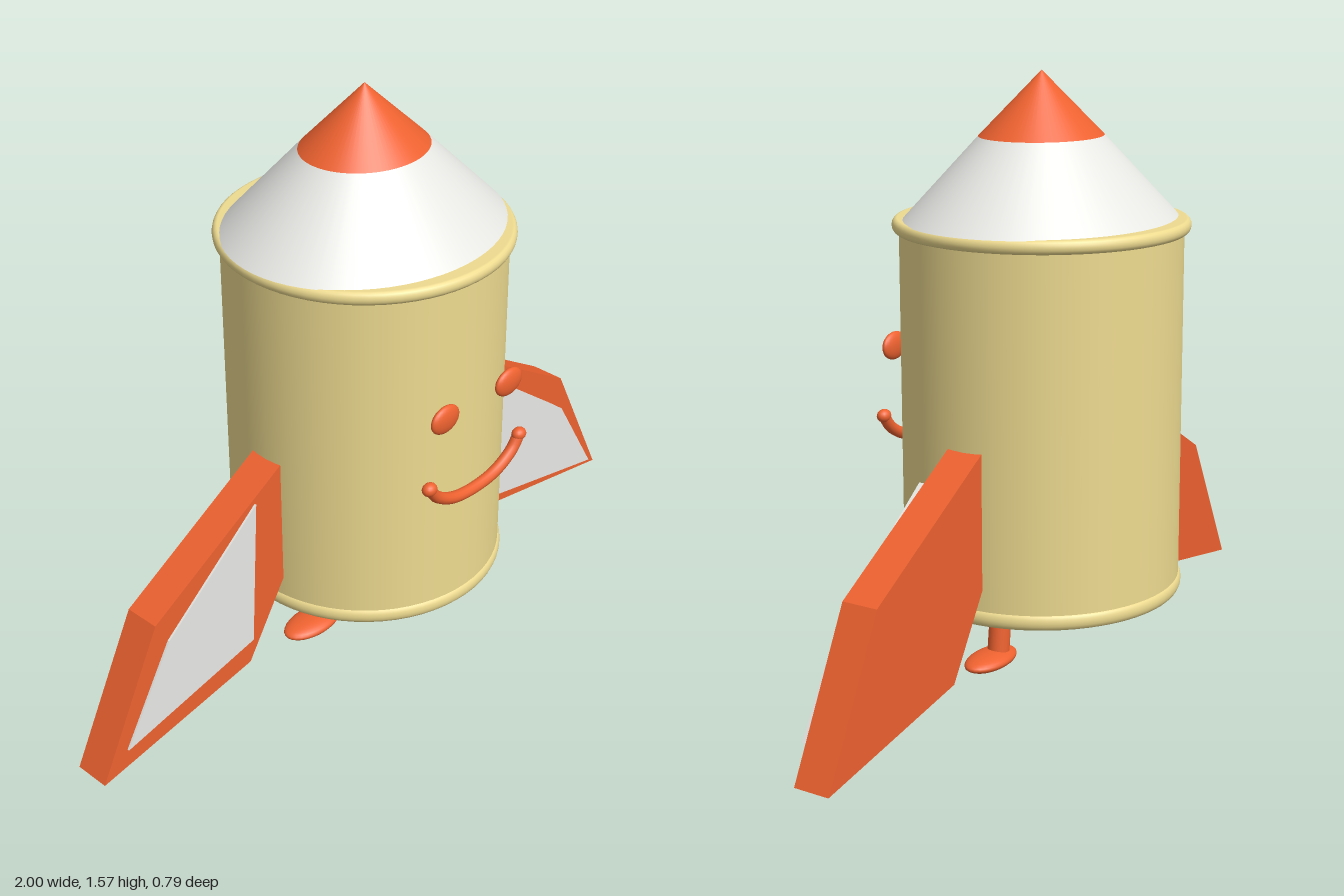
import * as THREE from 'three';

const mat = (color, side = THREE.FrontSide) => new THREE.MeshStandardMaterial({ color, side });
const CZ = -0.011; // depth of the hull axis

export function createModel() {
  const model = new THREE.Group();
  const orange = mat(0xee6230);
  const yellow = mat(0xeedb90);
  const white = mat(0xe8e9e5);

  function add(parent, name, geometry, material, x = 0, y = 0, z = 0) {
    const mesh = new THREE.Mesh(geometry, material);
    mesh.name = name;
    mesh.position.set(x, y, z);
    parent.add(mesh);
    return mesh;
  }

  // Hull: a closed can with rounded bands at both ends
  add(model, 'hull', new THREE.CylinderGeometry(0.368, 0.368, 0.98, 64), yellow, 0, 0.7, CZ);
  function band(name, radius, y0, y1) {
    const r = (y1 - y0) / 2;
    const points = [new THREE.Vector2(0, y0)];
    for (let i = 0; i <= 8; i++) {
      const a = -Math.PI / 2 + (i / 8) * Math.PI;
      points.push(new THREE.Vector2(radius - 0.014 + 0.014 * Math.cos(a), (y0 + y1) / 2 + r * Math.sin(a)));
    }
    points.push(new THREE.Vector2(0, y1));
    add(model, name, new THREE.LatheGeometry(points, 64), yellow, 0, 0, CZ);
  }
  band('topRim', 0.386, 1.166, 1.202);
  band('bottomRim', 0.375, 0.206, 0.25);

  // Nose: white cone with an orange tip, slightly flattened front to back
  const nose = new THREE.Group();
  nose.name = 'nose';
  nose.position.set(0, 0, CZ);
  nose.scale.z = 0.885;
  model.add(nose);
  add(nose, 'noseCone', new THREE.CylinderGeometry(0.176, 0.388, 0.21, 64), white, 0, 1.305, 0);
  add(nose, 'noseTip', new THREE.ConeGeometry(0.176, 0.165, 64), orange, 0, 1.4925, 0);

  // Shallow dome under the hull
  const R = 0.68;
  const dome = new THREE.SphereGeometry(R, 48, 12, 0, Math.PI * 2, Math.PI - 0.47, 0.47);
  add(model, 'bottomDome', dome, orange, 0, 0.135 + R, CZ);

  // Face: two eyes and a smile with round ends
  const face = new THREE.Group();
  face.name = 'face';
  face.position.set(-0.002, 0, 0.378);
  model.add(face);
  for (const s of [-1, 1]) {
    add(face, s > 0 ? 'leftEye' : 'rightEye', new THREE.SphereGeometry(1, 24, 16), orange, s * 0.122, 0.835, 0)
      .scale.set(0.05, 0.038, 0.016);
    add(face, 'smileEnd', new THREE.SphereGeometry(1, 16, 12), orange, s * 0.175, 0.652, 0)
      .scale.set(0.022, 0.018, 0.018);
  }
  const smile = new THREE.CatmullRomCurve3(
    [[-0.175, 0.652], [-0.147, 0.616], [-0.085, 0.582], [0, 0.571], [0.085, 0.582], [0.147, 0.616], [0.175, 0.652]]
      .map(([x, y]) => new THREE.Vector3(x, y, 0)));
  add(face, 'smile', new THREE.TubeGeometry(smile, 40, 0.016, 12), orange);

  // Fins with a pale panel on the front face
  function slab(points, side, depth) {
    const shape = new THREE.Shape(points.map(([x, y]) => new THREE.Vector2(side * x, y)));
    return new THREE.ExtrudeGeometry(shape, { depth, bevelEnabled: false });
  }
  const finOutline = [[0.35, 0.668], [0.803, 0.397], [1, 0.005], [0.493, 0.096], [0.35, 0.325]];
  const panels = {
    leftFin: [[0.425, 0.58], [0.755, 0.332], [0.912, 0.071], [0.46, 0.168]],
    rightFin: [[0.457, 0.588], [0.767, 0.332], [0.92, 0.073], [0.484, 0.168]],
  };
  for (const s of [-1, 1]) {
    const name = s > 0 ? 'leftFin' : 'rightFin';
    add(model, name, slab(finOutline, s, 0.1), orange, 0, 0, -0.062);
    add(model, name + 'Panel', slab(panels[name], s, s > 0 ? 0.06 : 0.02), white, 0, 0, 0.024);
  }

  // Short legs on flat oval feet
  for (const s of [-1, 1]) {
    const leg = add(model, s > 0 ? 'leftLeg' : 'rightLeg',
      new THREE.CylinderGeometry(0.029, 0.029, 0.15, 20), orange, s * 0.19, 0.13, 0);
    leg.rotation.z = s * 0.12;
    add(model, s > 0 ? 'leftFoot' : 'rightFoot', new THREE.SphereGeometry(1, 28, 16), orange, s * 0.228, 0.057, 0.004)
      .scale.set(0.096, 0.022, 0.053);
  }
  return model;
}
